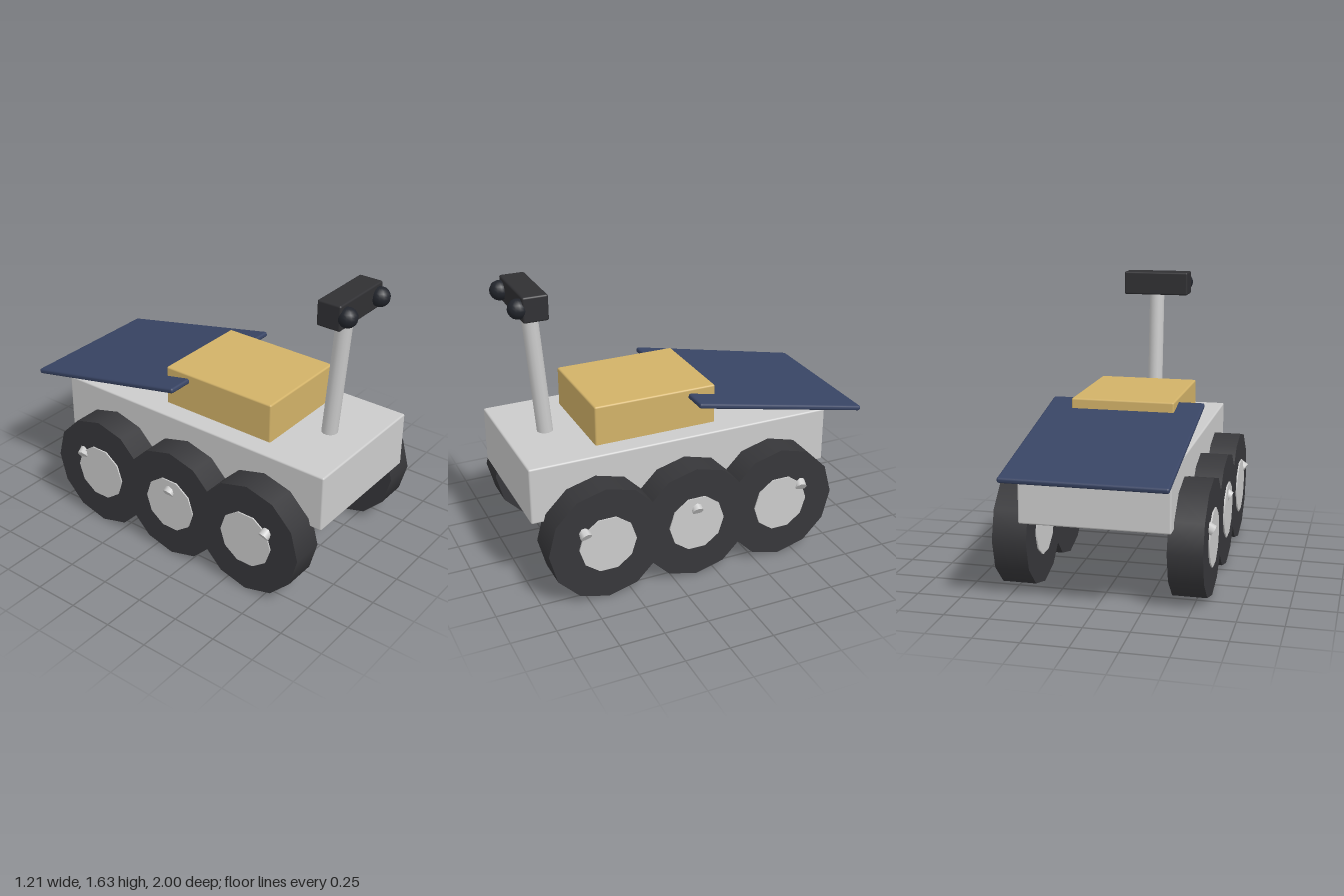
import * as THREE from 'three';
import { RoundedBoxGeometry } from 'three/addons/geometries/RoundedBoxGeometry.js';

const material = (color) => new THREE.MeshStandardMaterial({ color });
const grey = material(0xcccccc);
const gold = material(0xd2b268);
const navy = material(0x384464);
const rubber = material(0x37373a);
const black = material(0x303033);
const glass = material(0x22252c);

export function createModel() {
  const model = new THREE.Group();
  model.name = 'rover';

  function add(name, geometry, mat, x, y, z) {
    const mesh = new THREE.Mesh(geometry, mat);
    mesh.name = name;
    mesh.position.set(x, y, z);
    model.add(mesh);
    return mesh;
  }
  const box = (w, h, d) => new RoundedBoxGeometry(w, h, d, 2, 0.01);

  // Round bar between two points
  function bar(name, from, to, radius, sides) {
    const a = new THREE.Vector3(...from);
    const b = new THREE.Vector3(...to);
    const dir = b.clone().sub(a);
    const mid = a.clone().add(b).multiplyScalar(0.5);
    const mesh = add(name, new THREE.CylinderGeometry(radius, radius, dir.length(), sides), grey, mid.x, mid.y, mid.z);
    mesh.quaternion.setFromUnitVectors(new THREE.Vector3(0, 1, 0), dir.normalize());
  }

  // Chassis and equipment box
  add('body', box(0.82, 0.325, 1.77), grey, 0, 0.6125, 0.115);
  add('equipmentBox', box(0.59, 0.235, 0.71), gold, 0, 0.8825, 0.23);

  // Solar panel sloping down to the rear
  const panel = add('solarPanel', new RoundedBoxGeometry(0.885, 0.03, 1.054, 2, 0.012), navy, 0, 0.853, -0.48);
  panel.rotation.x = -0.207;

  // Camera mast and head
  bar('mast', [0, 0.74, 0.767], [0, 1.51, 0.828], 0.045, 14);
  add('cameraHead', box(0.4, 0.14, 0.138), black, 0, 1.56, 0.847);
  for (const s of [-1, 1]) add('cameraEye', new THREE.SphereGeometry(0.054, 14, 10), glass, s * 0.155, 1.56, 0.93);

  // Three wheels per side, each with a hub and a strut from the chassis
  const tire = new THREE.CylinderGeometry(0.33, 0.33, 0.19, 12).rotateZ(Math.PI / 2);
  const hub = new THREE.CylinderGeometry(0.163, 0.163, 0.206, 10).rotateZ(Math.PI / 2);
  for (const side of [-1, 1]) {
    for (const i of [-1, 0, 1]) {
      const z = 0.115 + i * 0.52;
      add('wheel', tire, rubber, side * 0.475, 0.332, z);
      add('hub', hub, grey, side * 0.475, 0.332, z);
      bar('strut', [side * 0.38, 0.545, z + i * 0.16], [side * 0.589, 0.41, z + i * 0.125], 0.032, 8);
    }
  }
  return model;
}
